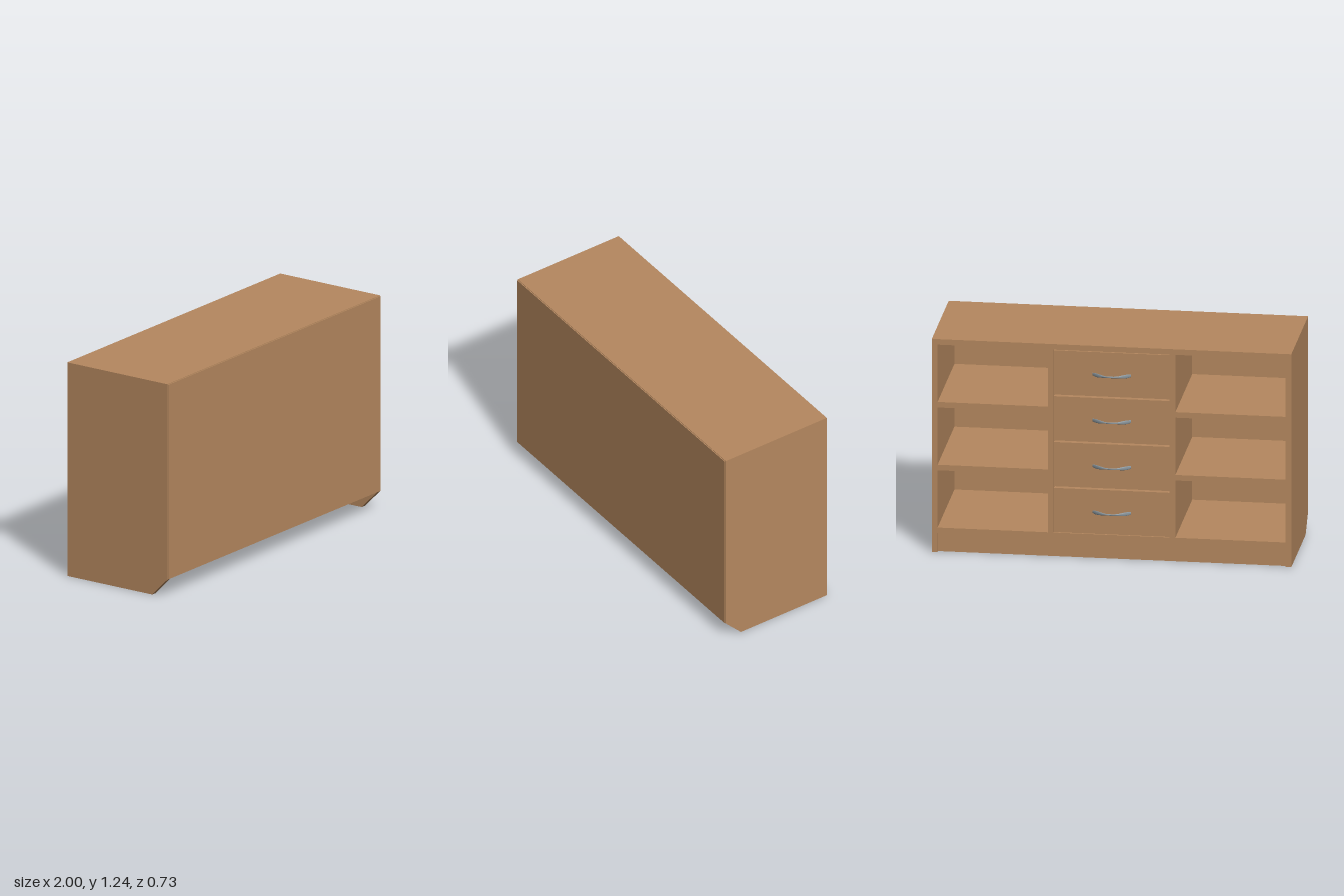
import * as THREE from 'three';

const wood = new THREE.MeshStandardMaterial({ color: 0xb5885f });
wood.name = 'wood';
const steel = new THREE.MeshStandardMaterial({ color: 0x8b979e });
steel.name = 'steel';

const T = 0.032;                    // board thickness
const H = 1.235, BACK = -0.323, FRONT = 0.357;
const BASE = 0.11;                  // underside of the bottom board
const INNER = 1 - T, DIV = 0.323;   // inner face of sides, inner face of dividers

export function createModel() {
  const model = new THREE.Group();
  model.name = 'sideboard';

  // board given by its limits on each axis
  function board(name, x0, x1, y0, y1, z0, z1) {
    const mesh = new THREE.Mesh(new THREE.BoxGeometry(x1 - x0, y1 - y0, z1 - z0), wood);
    mesh.position.set((x0 + x1) / 2, (y0 + y1) / 2, (z0 + z1) / 2);
    mesh.name = name;
    model.add(mesh);
    return mesh;
  }

  // carcass
  board('top', -1, 1, H - T, H, BACK, FRONT);
  board('bottomBoard', -INNER, INNER, BASE, BASE + T, BACK, FRONT);
  board('plinth', -INNER, INNER, 0, BASE, BACK + 0.018, BACK + 0.018 + T);
  board('rearPanel', -0.997, 0.997, 0.107, H - 0.003, FRONT, 0.363);

  // side panels with a cut lower corner
  const outline = new THREE.Shape([
    [BACK, 0], [0.255, 0], [FRONT, 0.104], [FRONT, H - T], [BACK, H - T],
  ].map(([z, y]) => new THREE.Vector2(-z, y)));
  const sideGeometry = new THREE.ExtrudeGeometry(outline, { depth: T, bevelEnabled: false });
  sideGeometry.rotateY(Math.PI / 2);
  for (const s of [-1, 1]) {
    const side = new THREE.Mesh(sideGeometry, wood);
    side.position.x = s > 0 ? INNER : -1;
    side.name = s > 0 ? 'leftSide' : 'rightSide';
    model.add(side);
  }

  // dividers and open shelves
  const opening = (H - T - BASE - T - 2 * T) / 3;
  for (const s of [-1, 1]) {
    const span = (a, b) => (s > 0 ? [a, b] : [-b, -a]);
    board('divider', ...span(DIV, DIV + T), BASE + T, H - T, BACK, FRONT);
    for (let i = 1; i < 3; i++) {
      const y = BASE + T + i * opening + (i - 1) * T;
      board('shelf', ...span(DIV + T, INNER), y, y + T, BACK, FRONT);
    }
  }

  // bow handle: a rod bent outwards, tall near its ends and slim in the middle
  const handleGeometry = new THREE.CylinderGeometry(1, 1, 2, 12, 28);
  handleGeometry.rotateZ(Math.PI / 2);
  const p = handleGeometry.attributes.position;
  for (let i = 0; i < p.count; i++) {
    const t = p.getX(i), a = Math.abs(t);
    const flare = THREE.MathUtils.smoothstep(a, 0.2, 0.75);
    const tip = THREE.MathUtils.smoothstep(a, 0.85, 1);
    const tall = 0.0045 + 0.006 * flare - 0.003 * tip;
    p.setXYZ(i, t * 0.108, p.getY(i) * tall,
      -0.048 * (1 - t * t) + p.getZ(i) * 0.0032);
  }
  handleGeometry.computeVertexNormals();

  // four slightly recessed drawers
  const pitch = 0.266, face = BACK + 0.01;
  for (let i = 0; i < 4; i++) {
    const y = 0.27 + i * pitch;
    board('drawerFront', -DIV, DIV, y - pitch / 2 + 0.005, y + pitch / 2 - 0.005, face, face + 0.03);
    const handle = new THREE.Mesh(handleGeometry, steel);
    handle.position.set(0, y, face + 0.001);
    handle.name = 'drawerHandle';
    model.add(handle);
  }

  return model;
}
